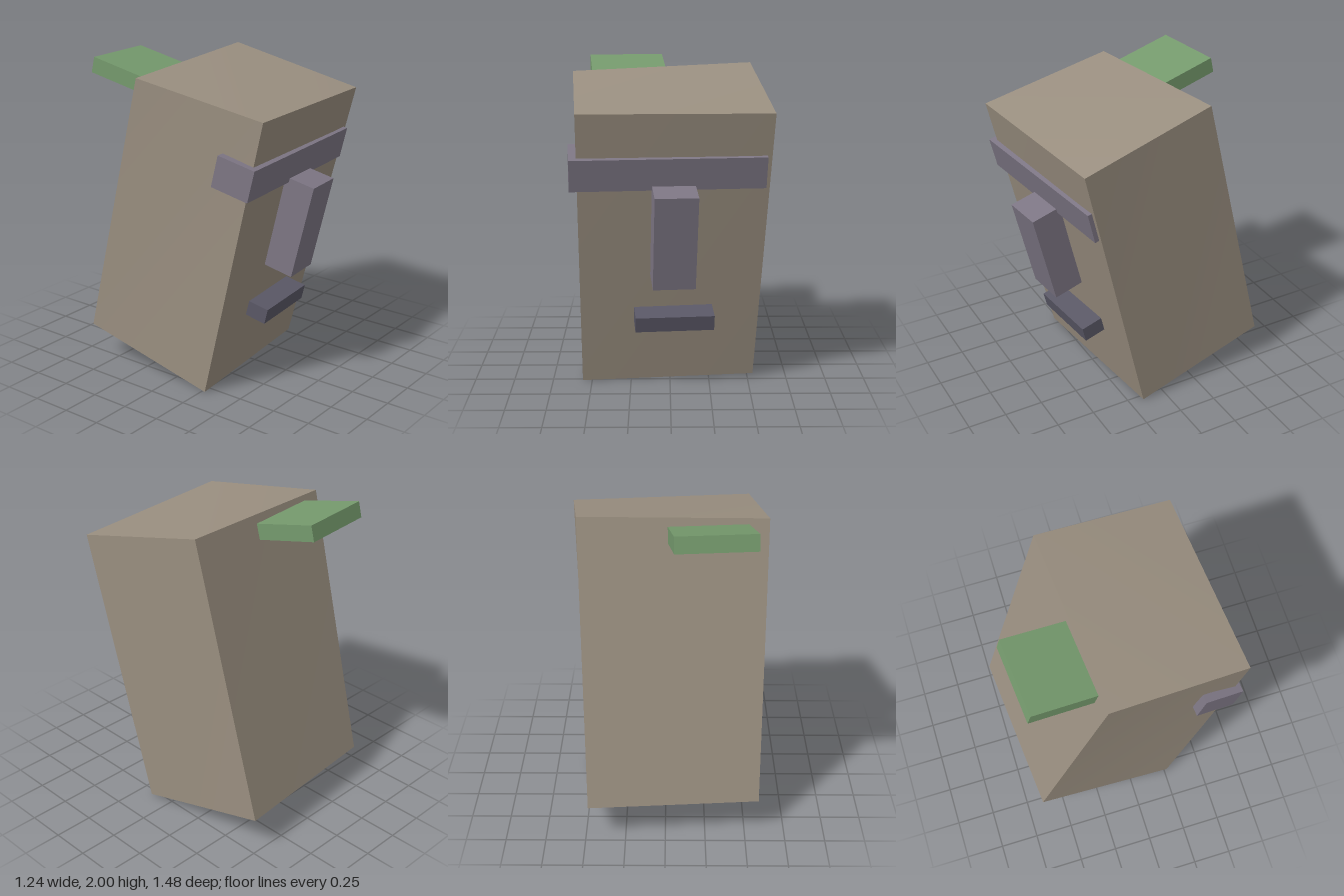
import * as THREE from 'three';

const stone = new THREE.MeshStandardMaterial({ color: 0x9a8f80 });
const slate = new THREE.MeshStandardMaterial({ color: 0x7d7684 });
const darkSlate = new THREE.MeshStandardMaterial({ color: 0x5a5866 });
const leafGreen = new THREE.MeshStandardMaterial({ color: 0x759a6d });
stone.name = 'stone';
slate.name = 'slate';
darkSlate.name = 'darkSlate';
leafGreen.name = 'leafGreen';

// The whole head leans forward and turns slightly
const PITCH = 0.235, YAW = 0.092;

function leaningBox(name, size, position, material) {
  const mesh = new THREE.Mesh(new THREE.BoxGeometry(...size), material);
  mesh.name = name;
  mesh.rotation.set(PITCH, YAW, 0, 'YXZ');
  mesh.position.set(...position);
  return mesh;
}

// Slightly irregular block: each box corner moves to its place
function headBlock() {
  const corners = {
    '-1,1,1': [-0.55, 1.78, 0.685], '1,1,1': [0.615, 1.77, 0.585],
    '-1,1,-1': [-0.62, 1.935, -0.185], '1,1,-1': [0.525, 1.98, -0.285],
    '-1,-1,1': [-0.56, 0, 0.27], '1,-1,1': [0.54, 0, 0.155],
    '-1,-1,-1': [-0.585, 0.225, -0.645], '1,-1,-1': [0.48, 0.235, -0.74],
  };
  const geometry = new THREE.BoxGeometry(2, 2, 2);
  const p = geometry.attributes.position;
  for (let i = 0; i < p.count; i++) {
    p.setXYZ(i, ...corners[[p.getX(i), p.getY(i), p.getZ(i)].join(',')]);
  }
  geometry.computeVertexNormals();
  const mesh = new THREE.Mesh(geometry, stone);
  mesh.name = 'head';
  return mesh;
}

export function createModel() {
  const model = new THREE.Group();
  model.name = 'stoneHead';
  model.add(
    headBlock(),
    leaningBox('brow', [1.175, 0.2, 0.25], [-0.021, 1.437, 0.461], slate),
    leaningBox('nose', [0.26, 0.61, 0.2], [0.021, 1.023, 0.557], slate),
    leaningBox('mouth', [0.49, 0.1, 0.16], [0.023, 0.462, 0.386], darkSlate),
    // Mossy slab sticking out of the back near the top
    leaningBox('mossSlab', [0.485, 0.1, 0.5], [-0.268, 1.894, -0.393], leafGreen),
  );
  return model;
}
